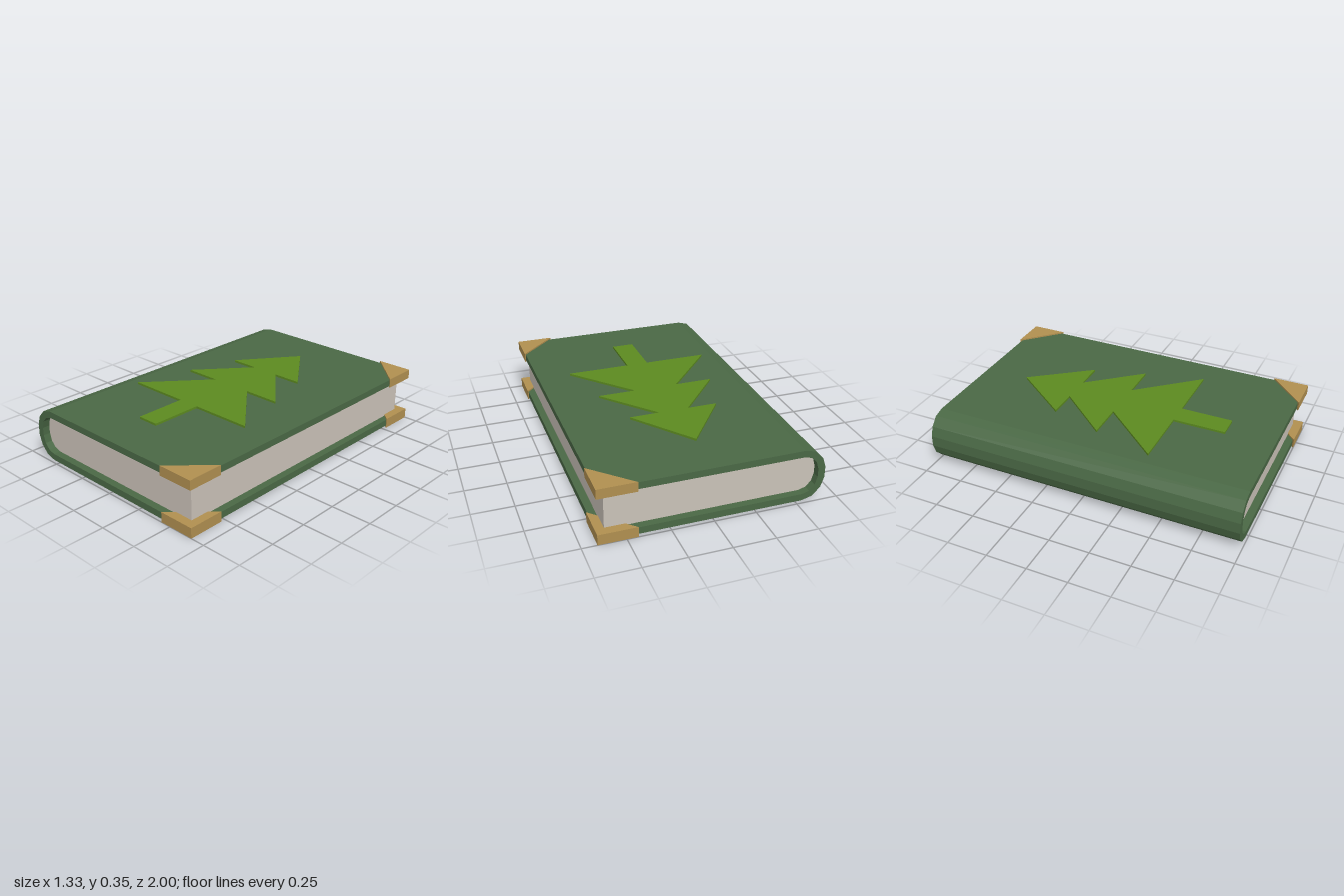
import * as THREE from 'three';

const mat = (name, color) => {
  const m = new THREE.MeshStandardMaterial({ color });
  m.name = name;
  return m;
};
const MID = 0.1735; // mid height of the book

// Shape from [x, y] points
const shapeOf = (pts) => new THREE.Shape(pts.map(([x, y]) => new THREE.Vector2(x, y)));

// Upper half of a spine curve followed by its mirror image below the mid height
const mirrorY = (half) => [
  ...half.map(([x, h]) => [x, MID + h]),
  ...half.slice().reverse().map(([x, h]) => [x, MID - h]),
];

// Prism along z, centred on z = 0
function prismZ(pts, length) {
  const g = new THREE.ExtrudeGeometry(shapeOf(pts), { depth: length, bevelEnabled: false });
  return g.translate(0, 0, -length / 2);
}

// Flat plate standing on y, outlined by [x, z] points
function plate(pts, y, height) {
  const g = new THREE.ExtrudeGeometry(shapeOf(pts.map(([x, z]) => [x, -z])), { depth: height, bevelEnabled: false });
  return g.rotateX(-Math.PI / 2).translate(0, y, 0);
}

export function createModel() {
  const book = new THREE.Group();
  book.name = 'book';
  const green = mat('coverGreen', 0x4a6845);
  const leaf = mat('treeGreen', 0x5c8a20);
  const gold = mat('cornerGold', 0xb08f50);
  const paper = mat('paper', 0xcac2b8);
  const add = (name, geometry, material) => {
    const mesh = new THREE.Mesh(geometry, material);
    mesh.name = name;
    book.add(mesh);
  };

  // Cover: two boards joined by a rounded spine
  const outer = mirrorY([[0.655, 0.1615], [-0.534, 0.1615], [-0.598, 0.144], [-0.645, 0.094], [-0.665, 0.034]]);
  const inner = mirrorY([[0.655, 0.12], [-0.534, 0.12], [-0.576, 0.107], [-0.608, 0.073], [-0.622, 0.025]]);
  add('cover', prismZ([...outer, ...inner.slice().reverse()], 1.98), green);

  // Page block filling the cover
  const pages = inner.map(([x, y]) => [Math.min(x, 0.61), y]);
  add('pages', prismZ(pages, 1.89), paper);

  // Triangular corner guards
  for (const [level, y, h] of [['top', 0.285, 0.059], ['bottom', 0, 0.063]]) {
    for (const [end, s] of [['Front', 1], ['Back', -1]]) {
      add(`${level}${end}Corner`, plate([[0.435, s], [0.662, s], [0.662, 0.777 * s]], y, h), gold);
    }
  }

  // Raised fir tree on the cover: right half mirrored about its axis
  const half = [[0.272, -0.33], [0.09, -0.33], [0.367, -0.006], [0.135, -0.006], [0.458, 0.364], [0.068, 0.364], [0.068, 0.689]];
  const axis = -0.006;
  const tree = [
    [axis, -0.692],
    ...half.map(([x, z]) => [axis + x, z]),
    ...half.slice().reverse().map(([x, z]) => [axis - x, z]),
  ];
  add('treeEmblem', plate(tree, 0.334, 0.0145), leaf);

  return book;
}
